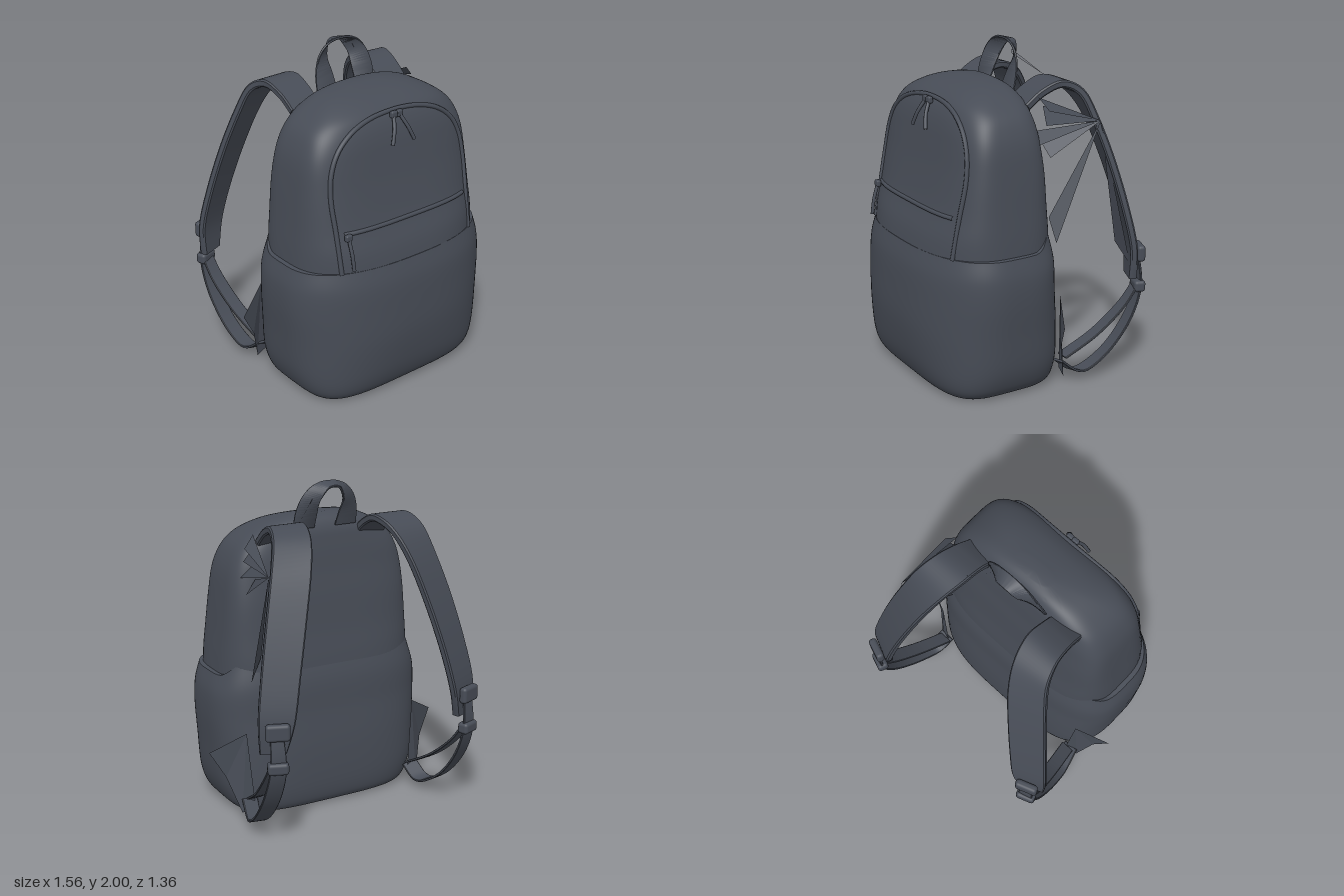
import * as THREE from 'three';
import { toCreasedNormals } from 'three/addons/utils/BufferGeometryUtils.js';
import { RoundedBoxGeometry } from 'three/addons/geometries/RoundedBoxGeometry.js';

const V = (x, y, z) => new THREE.Vector3(x, y, z);
const fabric = new THREE.MeshStandardMaterial({ color: 0x474c56, side: THREE.DoubleSide });
fabric.name = 'slateFabric';

function add(group, name, geometry) {
  const mesh = new THREE.Mesh(geometry, fabric);
  mesh.name = name;
  group.add(mesh);
  return mesh;
}

// Smooth interpolation through rows of numbers, t from 0 to 1
function sample(rows, t) {
  const last = rows.length - 1, f = t * last, i = Math.min(Math.floor(f), last - 1), u = f - i;
  const row = k => rows[Math.max(0, Math.min(last, k))];
  return rows[0].map((_, c) => {
    const a = row(i - 1)[c], b = row(i)[c], d = row(i + 1)[c], e = row(i + 2)[c];
    return b + 0.5 * u * (d - a + u * (2 * a - 5 * b + 4 * d - e + u * (3 * (b - d) + e - a)));
  });
}

// Capped skin over rings that run counter-clockwise about the direction of travel
function loft(rings, crease) {
  const n = rings[0].length, m = rings.length, pos = [], idx = [];
  rings.forEach(r => r.forEach(p => pos.push(p.x, p.y, p.z)));
  for (let i = 0; i < m - 1; i++) for (let j = 0; j < n; j++) {
    const a = i * n + j, b = i * n + (j + 1) % n;
    idx.push(a, b, b + n, a, b + n, a + n);
  }
  [0, m - 1].forEach((r, end) => {
    const c = rings[r].reduce((s, p) => s.add(p), V(0, 0, 0)).divideScalar(n);
    const k = pos.length / 3;
    pos.push(c.x, c.y, c.z);
    for (let j = 0; j < n; j++) {
      const a = r * n + j, b = r * n + (j + 1) % n;
      end ? idx.push(k, a, b) : idx.push(k, b, a);
    }
  });
  const g = new THREE.BufferGeometry();
  g.setAttribute('position', new THREE.Float32BufferAttribute(pos, 3));
  g.setIndex(idx);
  return toCreasedNormals(g, crease);
}

// Rounded horizontal section from [y, halfWidth, zFront, zBack, front squareness, back squareness]
function section([y, w, zf, zb, front, back], backRise = 0) {
  const ring = [], n = 80;
  for (let j = 0; j < n; j++) {
    const a = j / n * Math.PI * 2, s = Math.sin(a), c = Math.cos(a), e = 2 / (c > 0 ? front : back);
    const rise = backRise * THREE.MathUtils.smoothstep(-c, 0.25, 0.85);
    ring.push(V(w * Math.sign(s) * Math.abs(s) ** e, y + rise,
      (zf + zb) / 2 + (zf - zb) / 2 * Math.sign(c) * Math.abs(c) ** e));
  }
  return ring;
}

// Flat strap through points [x, y, z, sideX, sideY, sideZ]
function ribbon(points, thickness, steps = 36) {
  const rings = [];
  for (let i = 0; i <= steps; i++) {
    const t = i / steps, p = sample(points, t);
    const q0 = sample(points, Math.max(0, t - 0.01)), q1 = sample(points, Math.min(1, t + 0.01));
    const c = V(p[0], p[1], p[2]), s = V(p[3], p[4], p[5]);
    const tan = V(q1[0] - q0[0], q1[1] - q0[1], q1[2] - q0[2]);
    const nor = tan.cross(s).normalize().multiplyScalar(thickness / 2);
    rings.push([[-1, -0.6], [-0.93, -1], [0.93, -1], [1, -0.6], [1, 0.6], [0.93, 1], [-0.93, 1], [-1, 0.6]]
      .map(([a, b]) => c.clone().addScaledVector(s, a).addScaledVector(nor, b)));
  }
  return loft(rings, 0.6);
}

function tube(points, radius, steps = 80) {
  return new THREE.TubeGeometry(new THREE.CatmullRomCurve3(points), steps, radius, 8);
}

function polygons(list) {
  const pos = [];
  list.forEach(p => {
    for (let i = 1; i < p.length - 1; i++) pos.push(...p[0], ...p[i], ...p[i + 1]);
  });
  const g = new THREE.BufferGeometry();
  g.setAttribute('position', new THREE.Float32BufferAttribute(pos, 3));
  g.computeVertexNormals();
  return g;
}

const upperRows = [
  [0.80, 0.645, 0.645, -0.128, 2.5, 3.6], [0.95, 0.635, 0.615, -0.112, 2.8, 4], [1.10, 0.62, 0.56, -0.09, 3.3, 4.4],
  [1.30, 0.60, 0.51, -0.07, 3.8, 4.8], [1.45, 0.58, 0.48, -0.05, 4, 4.8], [1.55, 0.55, 0.46, -0.04, 3.9, 4.6],
  [1.63, 0.505, 0.435, -0.03, 3.6, 4.2], [1.69, 0.435, 0.40, -0.02, 3.4, 4], [1.74, 0.345, 0.33, 0, 3, 3.5],
  [1.77, 0.25, 0.25, 0.025, 2.8, 3], [1.79, 0.12, 0.16, 0.06, 2.5, 2.5]];
const baseRows = [
  [0, 0.55, 0.54, -0.10, 4.4, 4], [0.02, 0.59, 0.58, -0.145, 4, 3.8], [0.08, 0.635, 0.62, -0.17, 3.5, 3.6],
  [0.20, 0.672, 0.655, -0.18, 2.9, 3.5], [0.40, 0.69, 0.68, -0.175, 2.55, 3.4], [0.60, 0.705, 0.677, -0.155, 2.45, 3.4],
  [0.75, 0.70, 0.665, -0.14, 2.45, 3.5], [0.865, 0.67, 0.636, -0.097, 2.45, 3.6]];

// Point on the front of the upper body, lifted by a small amount
function onFront(x, y, lift = 0) {
  const i = Math.max(0, upperRows.findIndex(r => r[0] > y) - 1);
  const a = upperRows[i], b = upperRows[i + 1], u = (y - a[0]) / (b[0] - a[0]);
  const [, w, zf, zb, n] = a.map((v, k) => v + (b[k] - v) * u);
  const k = Math.max(0, 1 - Math.abs(x / w) ** n) ** (1 / n);
  return V(x, y, (zf + zb) / 2 + (zf - zb) / 2 * k + lift);
}

function side() {
  const g = new THREE.Group();
  // Padded shoulder strap
  add(g, 'shoulderStrap', ribbon([
    [0.33, 1.66, 0.02, 0.10, 0, 0], [0.335, 1.735, -0.08, 0.105, 0, 0],
    [0.345, 1.775, -0.20, 0.115, 0, 0], [0.38, 1.72, -0.32, 0.115, 0, 0.015],
    [0.43, 1.57, -0.405, 0.11, 0, 0.035], [0.50, 1.33, -0.48, 0.105, 0.01, 0.042],
    [0.57, 1.05, -0.545, 0.10, 0.015, 0.045], [0.62, 0.80, -0.585, 0.095, 0.01, 0.042],
    [0.64, 0.61, -0.575, 0.07, 0, 0.03]], 0.045, 60));
  // Buckles
  [['strapBuckle', 0.75, -0.635, 0.14, 0.10, 0.05], ['webbingAdjuster', 0.54, -0.635, 0.12, 0.07, 0.07]]
    .forEach(([name, y, z, w, h, d]) => {
      const b = add(g, name, new RoundedBoxGeometry(w, h, d, 3, 0.02));
      b.position.set(0.64, y, z);
      b.rotation.y = -0.35;
    });
  // Lower webbing, outer loop and inner run
  add(g, 'outerWebbing', ribbon([
    [0.64, 0.74, -0.62, 0.035, 0, 0.012], [0.64, 0.54, -0.64, 0.045, 0, 0.012],
    [0.64, 0.35, -0.57, 0.05, 0, 0.012], [0.63, 0.18, -0.44, 0.05, 0, 0.012],
    [0.61, 0.075, -0.30, 0.05, 0, 0.01], [0.59, 0.06, -0.21, 0.05, 0.01, 0],
    [0.57, 0.13, -0.12, 0.05, 0.01, 0]], 0.014));
  add(g, 'innerWebbing', ribbon([
    [0.64, 0.55, -0.62, 0.04, 0, 0.01], [0.63, 0.42, -0.52, 0.045, 0, 0.01],
    [0.60, 0.27, -0.35, 0.045, 0, 0.005], [0.56, 0.15, -0.15, 0.045, 0, 0]], 0.014));
  // Fabric wing that holds the webbing
  add(g, 'strapWing', polygons([[[0.58, 0.55, -0.115], [0.78, 0.43, -0.015], [0.69, 0.27, -0.05],
    [0.62, 0.05, -0.12], [0.54, 0.07, -0.14]]]));
  return g;
}

export function createModel() {
  const bag = new THREE.Group();
  bag.name = 'backpack';

  // Upper body and base with side pockets that rise a little toward the back
  const steps = 44;
  const ringsOf = (rows, rise) => Array.from({ length: steps + 1 }, (_, i) =>
    section(sample(rows, i / steps), rise * Math.max(0, i / steps * 4 - 3)));
  add(bag, 'upperBody', loft(ringsOf(upperRows, 0), 0.7));
  add(bag, 'baseAndSidePockets', loft(ringsOf(baseRows, 0.11), 0.7));

  // Arched zip around the front panel
  const half = [[0.485, 0.86], [0.49, 1.1], [0.495, 1.3], [0.475, 1.44], [0.42, 1.55], [0.32, 1.63], [0.18, 1.675]];
  const arch = [...half.map(([x, y]) => [-x, y]), [0, 1.69], ...half.slice().reverse()];
  add(bag, 'archZip', tube(arch.map(([x, y]) => onFront(x, y, 0.002)), 0.014, 120));

  // Straight pocket zip
  const line = Array.from({ length: 13 }, (_, i) => onFront(-0.45 + i * 0.075, 1.09));
  add(bag, 'pocketZip', tube(line, 0.013));

  // Zip sliders and pulls
  [[-0.02, 1.675, -0.075, 1.52], [0.02, 1.675, 0.085, 1.52], [-0.44, 1.08, -0.435, 0.89]].forEach(([x0, y0, x1, y1]) => {
    const top = onFront(x0, y0, 0.025);
    add(bag, 'zipPull', tube([top, onFront((x0 + x1) / 2, (y0 + y1) / 2, 0.03), onFront(x1, y1, 0.03)], 0.011, 10));
    add(bag, 'zipSlider', new RoundedBoxGeometry(0.045, 0.04, 0.03, 2, 0.01)).position.copy(top);
  });

  // Carry handle, twisting from flat legs to a level grip
  const leg = [[0.14, 1.72, -0.02, 0.07, 0, 0], [0.14, 1.81, -0.05, 0.066, 0, 0.012],
    [0.128, 1.885, -0.075, 0.05, 0.012, 0.022], [0.095, 1.94, -0.09, 0.032, 0.018, 0.031],
    [0.05, 1.975, -0.098, 0.014, 0.012, 0.038]];
  const otherLeg = leg.map(([x, y, z, a, b, c]) => [-x, y, z, -a, b, c]).reverse();
  add(bag, 'carryHandle', ribbon([...leg, [0, 1.983, -0.10, 0, 0.01, 0.04], ...otherLeg], 0.014, 60));

  // Straps on both sides
  const left = side(), right = side();
  left.name = 'leftStrap';
  right.name = 'rightStrap';
  right.scale.x = -1;
  bag.add(left, right);

  // Loose gathered folds between the left strap and the body
  const tip = [0.56, 1.56, -0.39];
  const folds = [[1.72, -0.02, 1.65, -0.05], [1.67, -0.05, 1.57, -0.03], [1.53, 0.01, 1.46, 0.03],
    [1.46, -0.04, 1.38, -0.06], [1.0, -0.10, 0.86, -0.11]]
    .map(([y0, z0, y1, z1]) => [tip, [0.47, y0, z0], [0.54, y1, z1]]);
  folds.push([tip, [0.54, 0.80, -0.53], [0.66, 0.68, -0.56]]);
  folds.push([[0.09, 1.935, -0.075], [0.10, 1.91, -0.07], [0.27, 1.79, -0.20]]);
  add(bag, 'looseFolds', polygons(folds));

  return bag;
}
